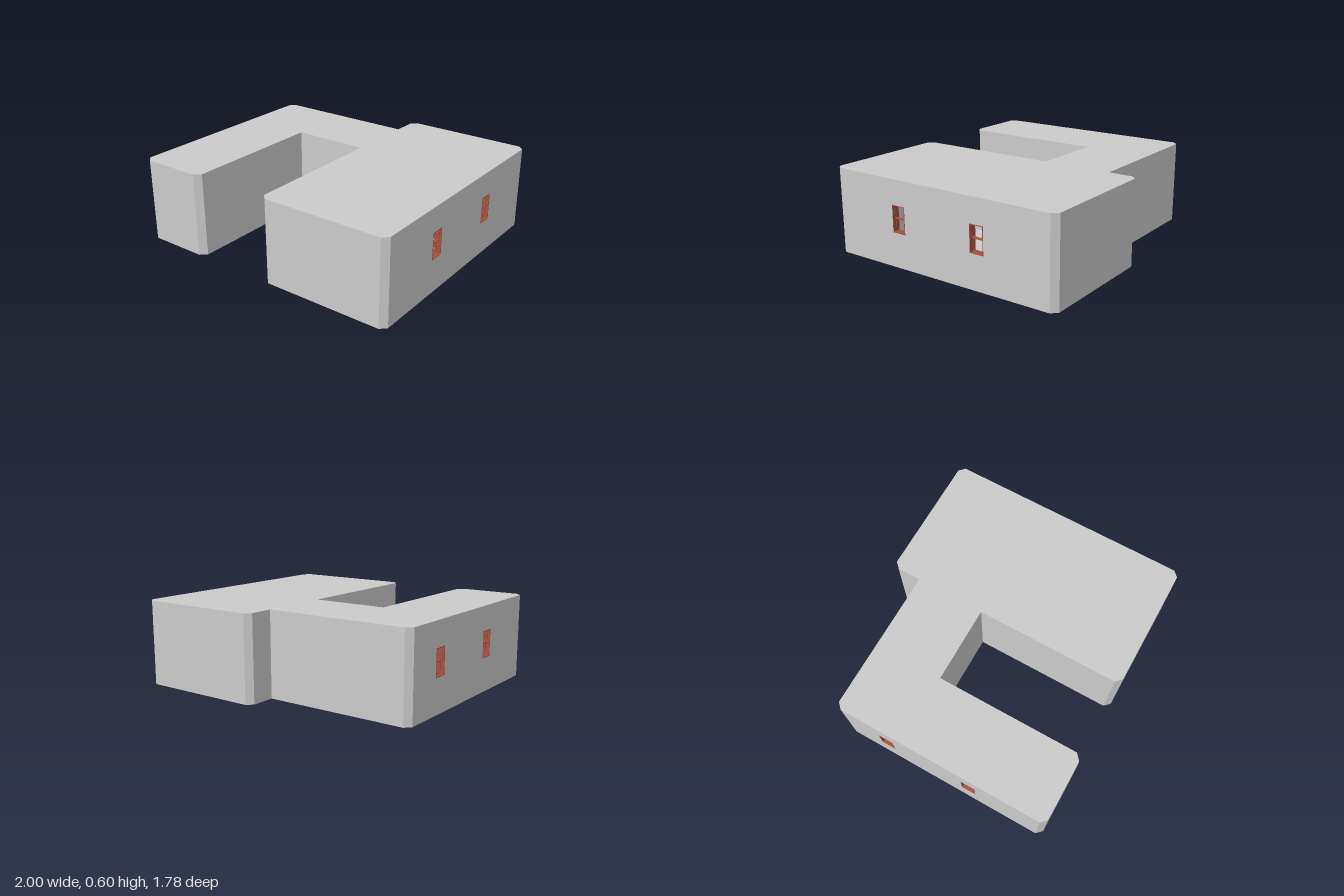
import * as THREE from 'three';

const HEIGHT = 0.6, WALL = 0.05;
const WIN = { w: 0.105, bottom: 0.24, h: 0.187, z: [0.32, -0.32] };

// Plan outline as [x, z], walked so the outside lies to the right
const PLAN = [
  [-0.96, 0.89], [-0.535, 0.89], [-0.49, 0.85], [-0.49, -0.18], [0.06, -0.18], [0.06, 0.85],
  [0.10, 0.89], [0.96, 0.89], [1, 0.85], [1, -0.85], [0.96, -0.89], [0.10, -0.89],
  [0.06, -0.85], [0.06, -0.68], [-0.96, -0.68], [-1, -0.64], [-1, 0.85],
];

const grey = new THREE.MeshStandardMaterial({ color: 0xcccccc, side: THREE.DoubleSide });
const red = new THREE.MeshStandardMaterial({ color: 0xa8503f });

function rectPath(path, x, y, w, h) {
  path.moveTo(x, y);
  path.lineTo(x + w, y);
  path.lineTo(x + w, y + h);
  path.lineTo(x, y + h);
  path.closePath();
  return path;
}

// Rectangular ring centred on the origin, front face at z = front
function ring(name, w, h, border, depth, front) {
  const shape = rectPath(new THREE.Shape(), -w / 2, -h / 2, w, h);
  shape.holes.push(rectPath(new THREE.Path(), -w / 2 + border, -h / 2 + border, w - 2 * border, h - 2 * border));
  const geo = new THREE.ExtrudeGeometry(shape, { depth, bevelEnabled: false });
  geo.translate(0, 0, front - depth);
  const mesh = new THREE.Mesh(geo, red);
  mesh.name = name;
  return mesh;
}

// Double-hung window lining the full wall depth
function createWindow() {
  const g = new THREE.Group();
  g.name = 'window';
  g.add(ring('windowFrame', WIN.w, WIN.h, 0.005, WALL + 0.002, 0.001));
  const sashH = WIN.h / 2;
  const upper = ring('upperSash', WIN.w - 0.004, sashH, 0.006, 0.012, -0.014);
  const lower = ring('lowerSash', WIN.w - 0.004, sashH, 0.006, 0.012, -0.026);
  upper.position.y = sashH / 2 - 0.003;
  lower.position.y = -sashH / 2 + 0.003;
  g.add(upper, lower);
  return g;
}

// One straight wall between two plan corners, with its windows
function createWall(a, b) {
  const dx = b[0] - a[0], dz = b[1] - a[1], len = Math.hypot(dx, dz);
  const wall = new THREE.Group();
  wall.name = 'wall';
  wall.position.set(a[0], 0, a[1]);
  wall.rotation.y = Math.atan2(-dz, dx);

  const shape = rectPath(new THREE.Shape(), 0, 0, len, HEIGHT);
  const hasWindows = Math.abs(a[0]) === 1 && a[0] === b[0];
  for (const z of hasWindows ? WIN.z : []) {
    const u = Math.abs(z - a[1]);
    shape.holes.push(rectPath(new THREE.Path(), u - WIN.w / 2, WIN.bottom, WIN.w, WIN.h));
    const win = createWindow();
    win.position.set(u, WIN.bottom + WIN.h / 2, 0);
    wall.add(win);
  }
  const geo = new THREE.ExtrudeGeometry(shape, { depth: WALL, bevelEnabled: false });
  geo.translate(0, 0, -WALL);
  const panel = new THREE.Mesh(geo, grey);
  panel.name = 'wallPanel';
  wall.add(panel);
  return wall;
}

// Flat sheet following the plan
function createSheet(name, y, faceUp) {
  const s = faceUp ? -1 : 1;
  const shape = new THREE.Shape(PLAN.map(([x, z]) => new THREE.Vector2(x, s * z)));
  const geo = new THREE.ShapeGeometry(shape);
  geo.rotateX(s * Math.PI / 2);
  const mesh = new THREE.Mesh(geo, grey);
  mesh.name = name;
  mesh.position.y = y;
  return mesh;
}

export function createModel() {
  const model = new THREE.Group();
  model.name = 'building';
  PLAN.forEach((p, i) => model.add(createWall(p, PLAN[(i + 1) % PLAN.length])));
  model.add(createSheet('roof', HEIGHT, true), createSheet('floor', 0, false));
  return model;
}
